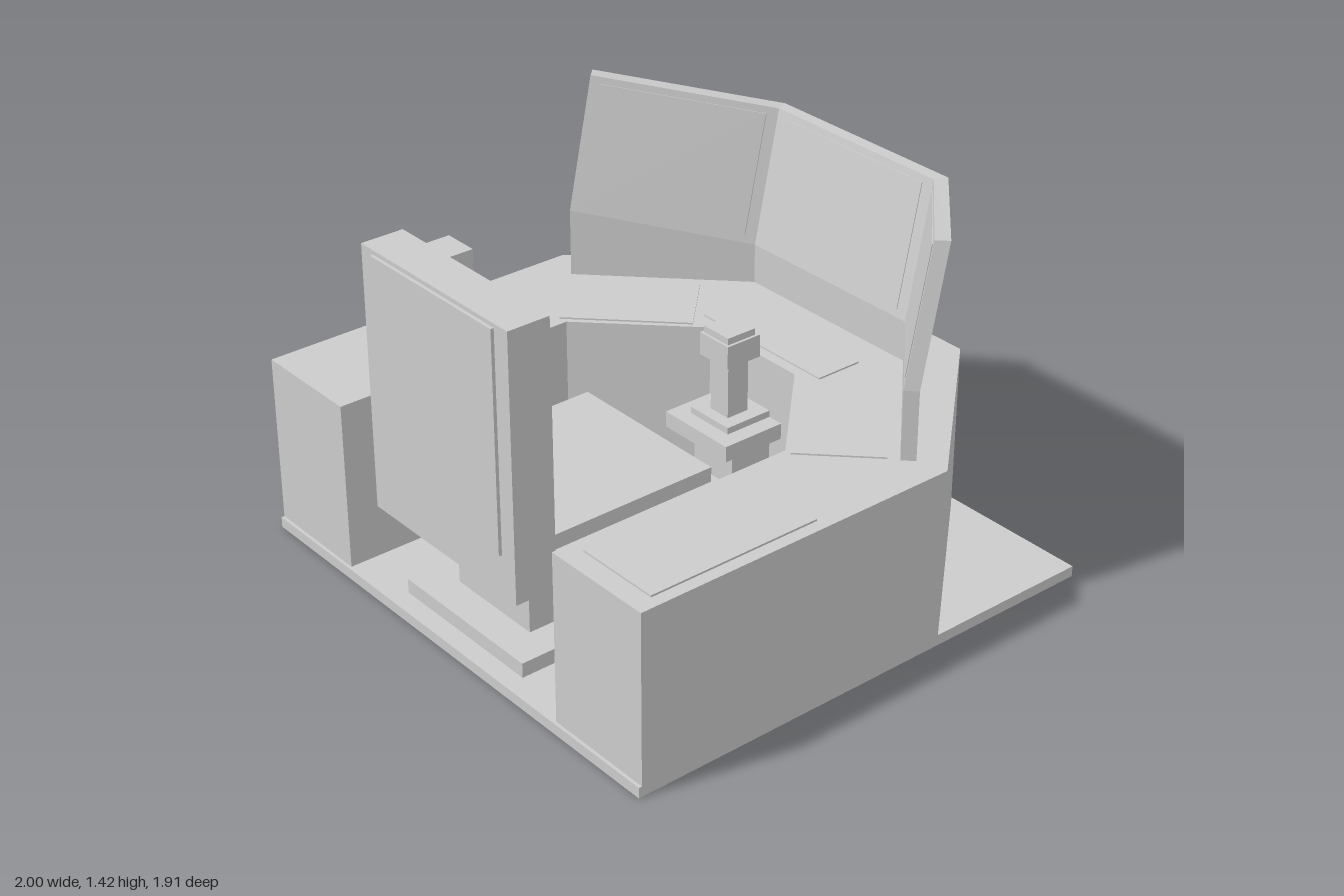
import * as THREE from 'three';

const material = new THREE.MeshStandardMaterial({ color: 0xcccccc, flatShading: true });

function add(parent, name, geometry) {
  const mesh = new THREE.Mesh(geometry, material);
  mesh.name = name;
  parent.add(mesh);
  return mesh;
}

// Box given by its extents along each axis
function box(parent, name, [x0, x1], [y0, y1], [z0, z1]) {
  const mesh = add(parent, name, new THREE.BoxGeometry(x1 - x0, y1 - y0, z1 - z0));
  mesh.position.set((x0 + x1) / 2, (y0 + y1) / 2, (z0 + z1) / 2);
  return mesh;
}

// Floor plan of (x, z) points raised from y0 to y1
function slab(parent, name, plan, y0, y1) {
  const shape = new THREE.Shape(plan.map(([x, z]) => new THREE.Vector2(x, -z)));
  const geometry = new THREE.ExtrudeGeometry(shape, { depth: y1 - y0, bevelEnabled: false });
  geometry.rotateX(-Math.PI / 2).translate(0, y0, 0);
  return add(parent, name, geometry);
}

// Joins closed cross-sections running from -x to +x and caps both ends
function loft(sections) {
  const n = sections[0].length, out = [];
  const quad = (a, b, c, d) => out.push(...a, ...b, ...c, ...a, ...c, ...d);
  for (let i = 0; i < sections.length - 1; i++) {
    const s = sections[i], t = sections[i + 1];
    for (let j = 0; j < n; j++) quad(s[j], t[j], t[(j + 1) % n], s[(j + 1) % n]);
  }
  const s = sections[0], e = sections[sections.length - 1];
  for (let j = 0; j < n / 2 - 1; j++) {
    const k = n - 1 - j;
    quad(s[j], s[j + 1], s[k - 1], s[k]);
    quad(e[k], e[k - 1], e[j + 1], e[j]);
  }
  const geometry = new THREE.BufferGeometry();
  geometry.setAttribute('position', new THREE.Float32BufferAttribute(out, 3));
  geometry.computeVertexNormals();
  return geometry;
}

// Outline of half a plan, completed by mirroring in x
const mirrored = half => [...half, ...half.slice().reverse().map(([x, z]) => [-x, z])];

export function createModel() {
  const model = new THREE.Group();
  const DESK = 0.67;

  box(model, 'floorPlate', [-1, 1], [0, 0.04], [-0.957, 0.957]);

  // Wrap-around console with an open cockpit bay
  slab(model, 'console', mirrored([
    [0.22, -0.36], [0.575, 0], [0.575, 0.945], [1, 0.945], [1, -0.31], [0.45, -0.92],
  ]), 0.04, DESK);

  // Wrap-around screen: lower strip upright, upper part leaning back
  const LEAN = 0.103;
  const stations = [
    { xi: -0.857, zi: -0.24, xo: -0.893, zo: -0.277, kink: 0.925, top: 1.42 },
    { xi: -0.385, zi: -0.71, xo: -0.406, zo: -0.757, kink: 0.82, top: 1.32 },
  ];
  stations.push(...stations.slice().reverse().map(s => ({ ...s, xi: -s.xi, xo: -s.xo })));
  add(model, 'screenShell', loft(stations.map(s => [
    [s.xi, DESK, s.zi], [s.xi, s.kink, s.zi], [s.xi, s.top, s.zi - LEAN],
    [s.xo, s.top, s.zo - LEAN], [s.xo, s.kink, s.zo], [s.xo, DESK, s.zo],
  ])));

  // Thin display sheet on each of the three leaning faces
  for (let i = 0; i < 3; i++) {
    const a = stations[i], b = stations[i + 1];
    const point = (u, v, dz) => {
      const mix = key => a[key] + (b[key] - a[key]) * u;
      return [mix('xi'), mix('kink') + (mix('top') - mix('kink')) * v, mix('zi') - LEAN * v + dz];
    };
    add(model, 'display', loft([0.06, 0.94].map(u => [
      point(u, 0.06, 0.003), point(u, 0.95, 0.003), point(u, 0.95, -0.01), point(u, 0.06, -0.01),
    ])));
  }

  // Control panels lying on the desk
  box(model, 'centrePanel', [-0.3, 0.3], [DESK, DESK + 0.006], [-0.58, -0.4]);
  for (const side of [-1, 1]) {
    const panel = add(model, 'cornerPanel', new THREE.BoxGeometry(0.47, 0.006, 0.31));
    panel.position.set(side * 0.55, DESK + 0.004, -0.27);
    panel.rotation.y = -side * Math.PI / 4;
  }
  box(model, 'sidePanel', [0.635, 0.955], [DESK, DESK + 0.007], [0.21, 0.87]);

  // Throttle lever
  const lever = new THREE.Group();
  lever.name = 'throttleLever';
  box(lever, 'leverPlate', [-0.815, -0.7], [DESK, 0.68], [0.14, 0.595]);
  box(lever, 'leverStalk', [-0.79, -0.72], [0.68, 0.905], [0.345, 0.41]);
  box(lever, 'leverHandle', [-0.825, -0.685], [0.905, 1.01], [0.31, 0.44]);
  model.add(lever);

  // Control stick on its bracket
  const stick = new THREE.Group();
  stick.name = 'controlStick';
  box(stick, 'stickPillar', [-0.1, 0.1], [0.04, 0.39], [-0.36, -0.19]);
  box(stick, 'stickBracket', [-0.16, 0.158], [0.39, 0.45], [-0.36, -0.11]);
  box(stick, 'stickPlate', [-0.097, 0.097], [0.45, 0.475], [-0.36, -0.17]);
  box(stick, 'stickStalk', [-0.045, 0.045], [0.475, 0.685], [-0.305, -0.215]);
  box(stick, 'stickHandle', [-0.075, 0.07], [0.685, 0.77], [-0.335, -0.19]);
  box(stick, 'stickCap', [-0.065, 0.06], [0.77, 0.795], [-0.32, -0.2]);
  model.add(stick);

  // Seat, with its back toward the open end
  const seat = new THREE.Group();
  seat.name = 'seat';
  box(seat, 'seatFoot', [-0.32, 0.32], [0.04, 0.095], [0.2, 0.885]);
  box(seat, 'seatColumn', [-0.195, 0.195], [0.095, 0.375], [0.26, 0.76]);
  box(seat, 'seatCrossColumn', [-0.293, 0.293], [0.095, 0.375], [0.32, 0.62]);
  box(seat, 'seatPan', [-0.385, 0.382], [0.375, 0.475], [0.07, 0.945]);
  box(seat, 'seatCushion', [-0.33, 0.327], [0.475, 0.53], [0.1, 0.79]);
  box(seat, 'backrest', [-0.385, 0.382], [0.475, 1.345], [0.787, 0.945]);
  box(seat, 'backCover', [-0.32, 0.315], [0.53, 1.33], [0.94, 0.957]);
  box(seat, 'backPad', [-0.33, 0.327], [0.53, 1.315], [0.766, 0.79]);
  box(seat, 'lumbarPad', [-0.32, 0.315], [0.53, 0.7], [0.737, 0.77]);
  model.add(seat);

  return model;
}
